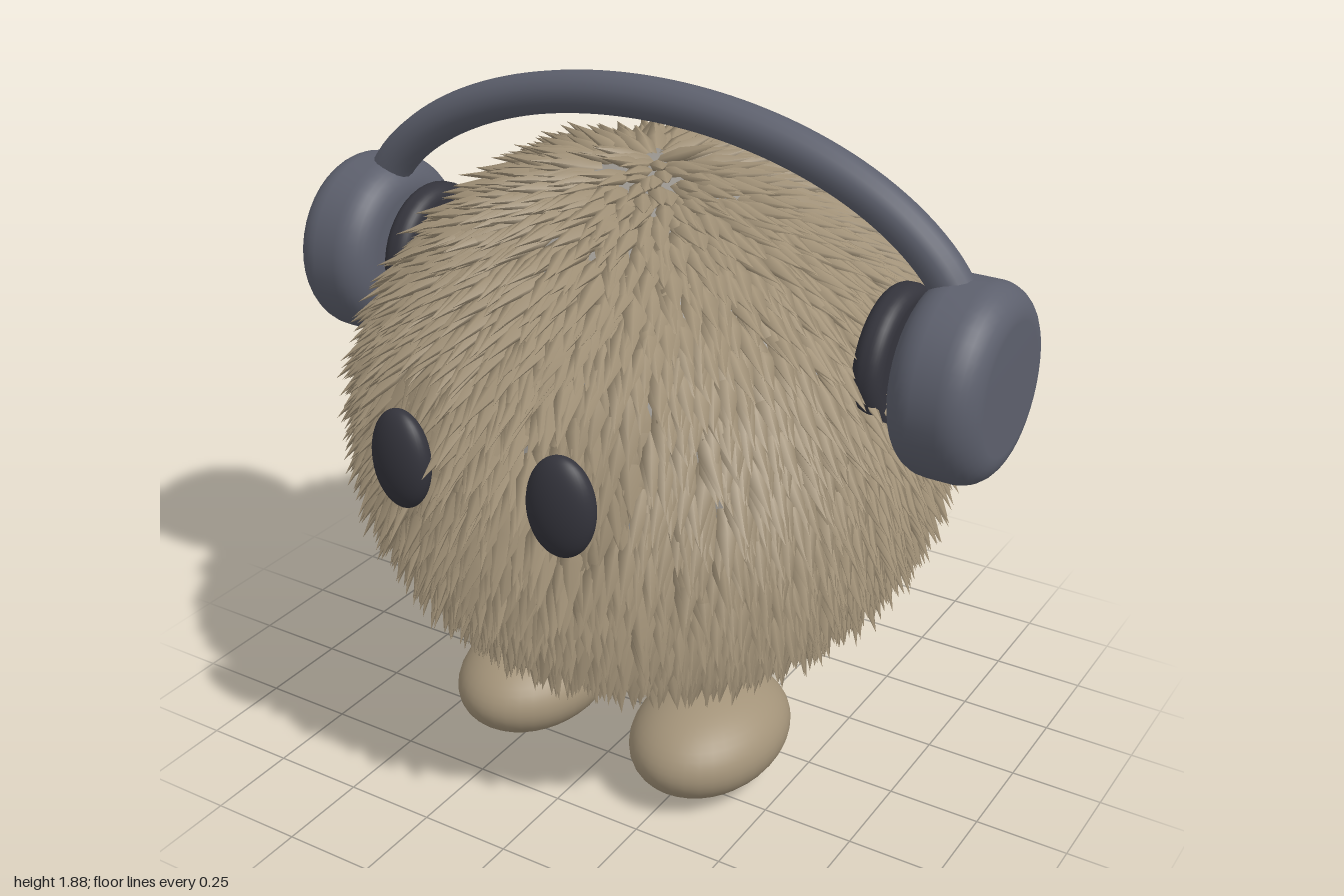
import * as THREE from 'three';
import { mergeGeometries } from 'three/addons/utils/BufferGeometryUtils.js';

const mat = (name, color) => {
  const m = new THREE.MeshStandardMaterial({ color });
  m.name = name;
  return m;
};

// Small seeded generator for fur variation
function seeded(seed) {
  return () => {
    seed = (seed * 1664525 + 1013904223) % 4294967296;
    return seed / 4294967296;
  };
}

const BODY = { y: 1.0, r: 0.735, h: 0.67 };
const EYE = { x: 0.23, y: 1.095, z: 0.78 };

// One leaf-shaped tuft, root at the origin, tip along +y
function tuftGeometry() {
  const profile = [[0.018, 0], [0.026, 0.055], [0, 0.16]].map(p => new THREE.Vector2(...p));
  const g = new THREE.LatheGeometry(profile, 5);
  g.scale(1, 1, 0.6);
  return g;
}

// Tufts spread over the body, combed down from the crown and open underneath
function furGeometry(count) {
  const rand = seeded(7);
  const tuft = tuftGeometry();
  const parts = [];
  const golden = Math.PI * (3 - Math.sqrt(5));
  for (let i = 0; i < count; i++) {
    const ny = Math.max(-0.8, Math.min(0.9995, 1 - 1.8 * (i + 0.5) / count + (rand() - 0.5) * 0.025));
    const a = i * golden + (rand() - 0.5) * 0.06;
    const s = Math.sqrt(1 - ny * ny);
    const normal = new THREE.Vector3(s * Math.cos(a), ny, s * Math.sin(a));
    const down = new THREE.Vector3(ny * Math.cos(a), -s, ny * Math.sin(a));
    const side = new THREE.Vector3(-Math.sin(a), 0, Math.cos(a));
    const root = new THREE.Vector3(normal.x * BODY.r, BODY.y + ny * BODY.h, normal.z * BODY.r);
    // Lie flatter on the crown and around the eyes
    let lift = ny > 0 ? 0.5 - 0.2 * ny : 0.5 - 0.45 * ny;
    const ex = (Math.abs(root.x) - EYE.x) / 0.12, ey = (root.y - EYE.y - 0.07) / 0.2;
    if (root.z > 0 && ex * ex + ey * ey < 1) lift = 0.12;
    const dir = down.multiplyScalar(0.85)
      .addScaledVector(normal, lift + (rand() - 0.5) * 0.2)
      .addScaledVector(side, (rand() - 0.5) * 0.35).normalize();
    const out = new THREE.Vector3().crossVectors(side, dir).normalize();
    const across = new THREE.Vector3().crossVectors(dir, out);
    const w = 0.9 + rand() * 0.3;
    const m = new THREE.Matrix4().makeBasis(
      across.multiplyScalar(w), dir.multiplyScalar(0.8 + rand() * 0.4), out.multiplyScalar(w));
    m.setPosition(root.addScaledVector(normal, -0.005));
    parts.push(tuft.clone().applyMatrix4(m));
  }
  return mergeGeometries(parts);
}

// Rounded disc lying along x, centred on the origin
function discGeometry(radius, width, round) {
  const h = width / 2, pts = [new THREE.Vector2(0, -h)];
  for (const [cy, start] of [[-h + round, -Math.PI / 2], [h - round, 0]]) {
    for (let i = 0; i <= 8; i++) {
      const a = start + (i / 8) * Math.PI / 2;
      pts.push(new THREE.Vector2(radius - round + Math.cos(a) * round, cy + Math.sin(a) * round));
    }
  }
  pts.push(new THREE.Vector2(0, h));
  return new THREE.LatheGeometry(pts, 40).rotateZ(Math.PI / 2);
}

export function createModel() {
  const model = new THREE.Group();
  model.name = 'furryCreature';
  const furMat = mat('tan fur', 0xa39379);
  const skinMat = mat('grey skin', 0x98948e);
  const shellMat = mat('slate headphones', 0x5d606d);
  const darkMat = mat('dark charcoal', 0x34343c);

  const add = (name, geometry, material, x = 0, y = 0, z = 0) => {
    const mesh = new THREE.Mesh(geometry, material);
    mesh.name = name;
    mesh.position.set(x, y, z);
    model.add(mesh);
    return mesh;
  };
  const ellipsoid = (rx, ry, rz) => new THREE.SphereGeometry(1, 36, 24).scale(rx, ry, rz);

  // Body and fur
  add('body', ellipsoid(BODY.r, BODY.h, BODY.r), skinMat, 0, BODY.y, 0);
  add('fur', furGeometry(4800), furMat);

  // Paired parts
  for (const [label, s] of [['left', 1], ['right', -1]]) {
    add(label + 'Foot', ellipsoid(0.2, 0.14, 0.27), furMat, s * 0.285, 0.145, 0.175);
    const eye = add(label + 'Eye', ellipsoid(0.088, 0.13, 0.05), darkMat, s * EYE.x, EYE.y, EYE.z);
    eye.rotation.y = s * 0.12;
    add(label + 'EarCup', discGeometry(0.25, 0.235, 0.085), shellMat, s * 0.8825, 1.278, 0.03);
    add(label + 'EarPad', discGeometry(0.195, 0.08, 0.035), darkMat, s * 0.7, 1.28, 0.02);
    // Short stem joining pad and cup
    const stem = new THREE.CylinderGeometry(0.1, 0.1, 0.1, 24).rotateZ(Math.PI / 2);
    add(label + 'EarStem', stem, darkMat, s * 0.76, 1.28, 0.025);
  }

  // Headband arch
  const arch = [];
  for (let i = 0; i <= 16; i++) {
    const a = THREE.MathUtils.degToRad(18 + (144 * i) / 16);
    arch.push(new THREE.Vector3(0.9 * Math.cos(a), 1.305 + 0.52 * Math.sin(a), 0.025));
  }
  add('headband', new THREE.TubeGeometry(new THREE.CatmullRomCurve3(arch), 64, 0.055, 16), shellMat);

  return model;
}
